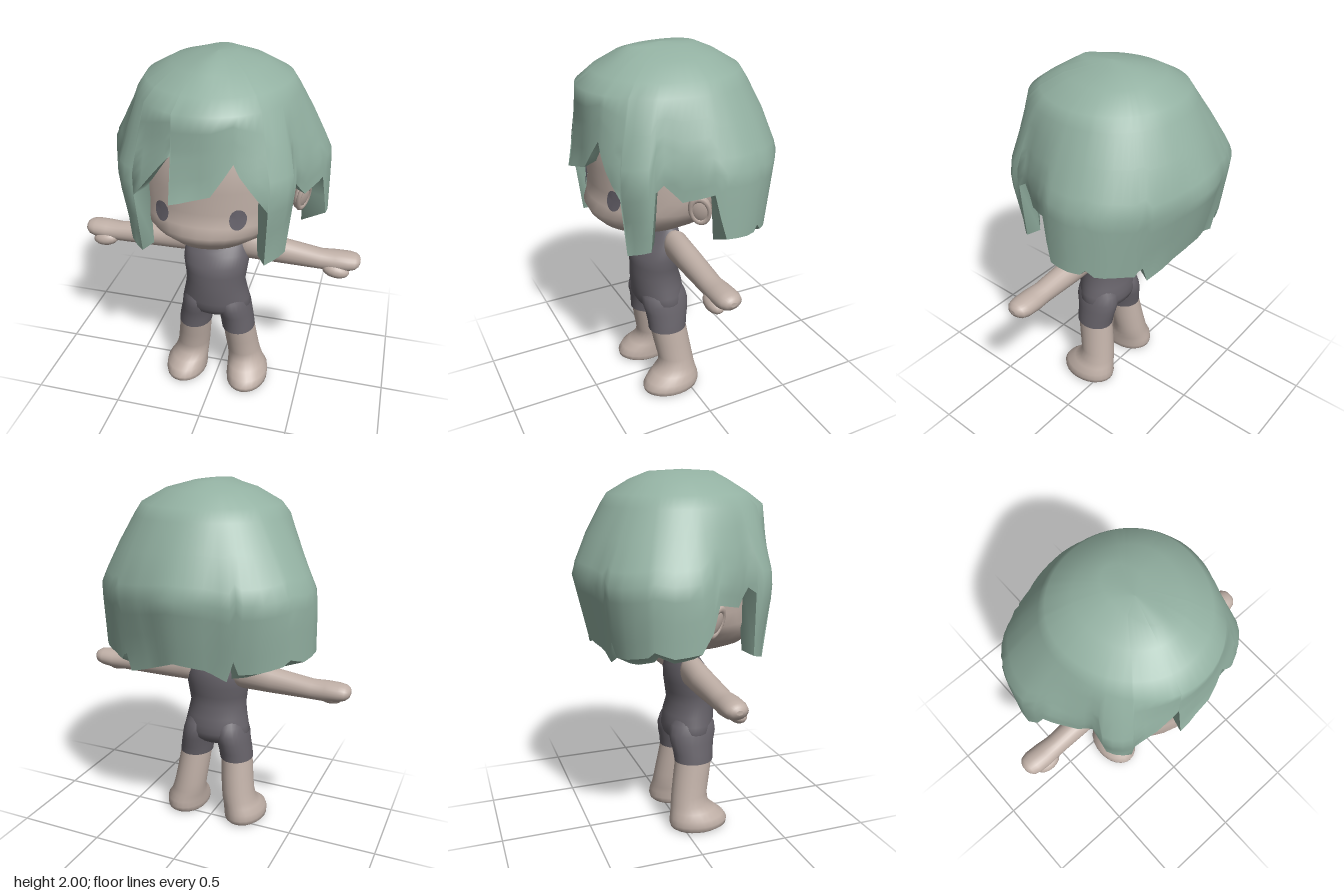
import * as THREE from 'three';

const mat = (name, color, side = THREE.FrontSide) => {
  const m = new THREE.MeshStandardMaterial({ color, side });
  m.name = name;
  return m;
};

// Linear lookup in rows of [key, ...values]
function sample(table, k) {
  if (k <= table[0][0]) return table[0].slice(1);
  for (let i = 1; i < table.length; i++) {
    if (k <= table[i][0]) {
      const a = table[i - 1], b = table[i], t = (k - a[0]) / (b[0] - a[0]);
      return a.slice(1).map((v, j) => v + (b[j + 1] - v) * t);
    }
  }
  return table[table.length - 1].slice(1);
}

// Skin over closed rings of points, listed bottom to top
function skin(rings, capBottom = true, capTop = true) {
  const n = rings[0].length, pos = rings.flat(2), idx = [];
  for (let j = 0; j < rings.length - 1; j++) {
    for (let i = 0; i < n; i++) {
      const a = j * n + i, b = j * n + (i + 1) % n;
      idx.push(a, b, b + n, a, b + n, a + n);
    }
  }
  const cap = (ring, up) => {
    const start = pos.length / 3;
    const c = [0, 1, 2].map(k => ring.reduce((s, p) => s + p[k], 0) / n);
    pos.push(...ring.flat(), ...c);
    for (let i = 0; i < n; i++) {
      const a = start + i, b = start + (i + 1) % n;
      if (up) idx.push(a, b, start + n); else idx.push(b, a, start + n);
    }
  };
  if (capBottom) cap(rings[0], false);
  if (capTop) cap(rings[rings.length - 1], true);
  const g = new THREE.BufferGeometry();
  g.setAttribute('position', new THREE.Float32BufferAttribute(pos, 3));
  g.setIndex(idx);
  g.computeVertexNormals();
  return g;
}

// Oval ring: height, centre x, half width, front z, back z
function oval([y, cx, rx, zf, zb], n = 24) {
  return Array.from({ length: n }, (_, i) => {
    const a = i / n * Math.PI * 2;
    return [cx + rx * Math.sin(a), y, (zf + zb) / 2 + (zf - zb) / 2 * Math.cos(a)];
  });
}

// y, half width, front z, back z
const HEAD = [
  [1.03, 0.08, 0.2, 0], [1.045, 0.16, 0.33, -0.06], [1.08, 0.25, 0.41, -0.14],
  [1.13, 0.33, 0.46, -0.22], [1.18, 0.375, 0.485, -0.27], [1.23, 0.41, 0.462, -0.3],
  [1.3, 0.425, 0.452, -0.34], [1.42, 0.435, 0.46, -0.37], [1.58, 0.42, 0.455, -0.37],
  [1.75, 0.32, 0.4, -0.3], [1.86, 0.16, 0.25, -0.16],
];
const TORSO = [
  [0.475, 0.05, 0.13, 0.04], [0.49, 0.12, 0.175, -0.005], [0.52, 0.185, 0.212, -0.038],
  [0.56, 0.2, 0.235, -0.05], [0.65, 0.18, 0.243, -0.04], [0.72, 0.168, 0.245, -0.02],
  [0.84, 0.185, 0.24, -0.035], [0.9, 0.183, 0.205, -0.037], [1, 0.155, 0.135, -0.012],
  [1.03, 0.13, 0.12, 0],
];

function headZ(x, y) {
  const [rx, zf, zb] = sample(HEAD, y);
  return (zf + zb) / 2 + (zf - zb) / 2 * Math.sqrt(Math.max(0, 1 - (x / rx) ** 2));
}

// Hair hem: degrees from the front towards the left, height
const HEM = [
  [-12.5, 1.38], [9, 1.44], [21, 1.6], [24, 1.54], [38, 1.35], [39, 1.03], [53, 1.07], [56, 1.4],
  [60, 1.43], [70, 1.34], [79, 1.36], [86, 1.38], [89, 1.25], [92, 1.14], [109, 1.13], [112, 1.16],
  [116, 1.12], [130, 1.1], [137, 1.08], [139, 1.11], [142, 1.12], [145, 1.03], [156, 1.06],
  [170, 1.1], [180, 1.13], [200, 1.11], [213, 1.06], [216, 1.17], [219, 1.1], [228, 1.11], [240, 1.14],
  [243, 1.17], [252, 1.14], [264, 1.16], [270, 1.25], [274, 1.38], [282, 1.36], [291, 1.34],
  [300, 1.43], [304, 1.4], [307, 1.06], [322, 1.02], [323, 1.36], [340, 1.55], [347, 1.62], [347.5, 1.38],
];
// Hair outline at its fullest: degrees, radius
const OUTLINE = [
  [-13, 0.525], [0, 0.505], [22, 0.53], [45, 0.575], [52, 0.575], [61, 0.51], [76, 0.52],
  [90, 0.56], [102, 0.585], [121, 0.585], [149, 0.545], [165, 0.535], [180, 0.55], [205, 0.545], [230, 0.615],
  [244, 0.635], [263, 0.62], [285, 0.53], [299, 0.5], [308, 0.57], [315, 0.575], [330, 0.53], [348, 0.525],
];
// Hair fullness by height: front, side, back, front corner
const FULLNESS = [
  [1.1, 1.07, 1.02, 0.84, -0.13], [1.36, 1.07, 1.01, 0.95, -0.05], [1.48, 1, 1, 1, 0],
  [1.65, 0.93, 0.88, 0.86, 0], [1.82, 0.89, 0.73, 0.68, 0], [1.88, 0.74, 0.66, 0.61, 0],
  [1.95, 0.54, 0.43, 0.4, 0], [1.99, 0.42, 0.16, 0.23, 0],
];

function hairPoint(deg, y, shrink = 1, lift = 0) {
  const a = deg * Math.PI / 180, c = Math.cos(a), s = Math.sin(a);
  const [f, w, b, k] = sample(FULLNESS, y);
  const round = 1 / Math.hypot(c / (c > 0 ? f : b), s / w);
  const corner = c > 0 ? k * Math.sin(2 * a) ** 2 : 0;
  // The outline evens out towards the crown
  const even = THREE.MathUtils.clamp((y - 1.45) / 0.37, 0, 1);
  const base = THREE.MathUtils.lerp(sample(OUTLINE, deg)[0], 0.56, even);
  const r = base * (round + corner) * shrink;
  return [r * s, y + lift, r * c];
}

function buildHair(material) {
  const cols = [];
  HEM.forEach(([d, y], i) => {
    const [d2, y2] = HEM[i + 1] || [HEM[0][0] + 360, HEM[0][1]];
    const n = Math.max(1, Math.ceil((d2 - d) / 6));
    for (let k = 0; k < n; k++) cols.push([d + (d2 - d) * k / n, y + (y2 - y) * k / n]);
  });
  const outer = [0, 0.12, 0.25, 0.4, 0.5, 0.6, 0.8].map(t =>
    cols.map(([d, y]) => hairPoint(d, y + (1.82 - y) * t)));
  for (const y of [1.82, 1.88, 1.95, 1.99]) outer.push(cols.map(([d]) => hairPoint(d, y)));
  outer.push(cols.map(() => [0, 2, 0.06]));
  // Turned-in underside; behind the ears it slopes down towards the neck
  const behindEar = d => (d > 89 && d < 143) || (d > 217 && d < 269);
  const inner = [
    cols.map(([d, y]) => hairPoint(d, Math.min(1.7, y + 0.3), behindEar(d) ? 0.76 : 0.82)),
    cols.map(([d, y]) => behindEar(d) ? hairPoint(d, y, 0.78, -0.06) : hairPoint(d, y, 0.86, 0.02)),
    cols.map(([d, y]) => hairPoint(d, y)),
  ];
  const g = new THREE.Group();
  g.name = 'hair';
  [['hairShell', outer], ['hairUnderside', inner]].forEach(([name, rings]) => {
    const m = new THREE.Mesh(skin(rings, false, false), material);
    m.name = name;
    g.add(m);
  });
  return g;
}

export function createModel() {
  const model = new THREE.Group();
  model.name = 'figure';
  const skinTone = mat('skin', 0xbfafa6);
  const cloth = mat('suitCloth', 0x67636a, THREE.DoubleSide);
  const eyeMat = mat('eyes', 0x67636c, THREE.DoubleSide);
  const hairMat = mat('hair', 0x93b1a2, THREE.DoubleSide);
  const add = (name, geometry, material) => {
    const m = new THREE.Mesh(geometry, material);
    m.name = name;
    model.add(m);
    return m;
  };

  add('head', skin(HEAD.map(([y, ...r]) => oval([y, 0, ...r], 32))), skinTone);
  model.add(buildHair(hairMat));
  add('neck', new THREE.CylinderGeometry(0.07, 0.078, 0.14, 20), skinTone).position.set(0, 1.02, 0.065);

  // Upper chest under the suit
  add('chest', skin([0.86, 0.9, 0.95, 1].map(y => {
    const [rx, zf, zb] = sample(TORSO, y);
    return oval([y, 0, rx - 0.006, zf - 0.006, zb + 0.006], 32);
  })), skinTone);

  // Suit with a scooped neckline; the last ring folds the straps over the shoulders
  const levels = [0.475, 0.49, 0.52, 0.56, 0.6, 0.65, 0.72, 0.78, 0.84, 0.9, 0.95, 1.01, 1.02];
  add('suitBody', skin(levels.map(level => Array.from({ length: 48 }, (_, i) => {
    const a = i / 48 * Math.PI * 2, c = Math.cos(a), s = Math.sin(a);
    const strap = Math.min(1, (s / 0.54) ** 2);
    const top = c > 0 ? 0.935 + 0.075 * strap : 0.975 + 0.035 * strap;
    const y = level > 0.9 ? 0.9 + (top - 0.9) * Math.min(1, (level - 0.9) / 0.11) : level;
    const fold = level > 1.01 ? strap : 0;
    const [rx, zf, zb] = sample(TORSO, y);
    return [rx * s * (1 - 0.4 * fold * s * s), y + 0.004 * fold, (zf + zb) / 2 + (zf - zb) / 2 * c * (1 - 0.1 * fold)];
  })), true, false), cloth);

  for (const s of [1, -1]) {
    const side = s > 0 ? 'left' : 'right';

    add(side + 'SuitLeg', skin([
      [0.39, 0.13, 0.096, 0.2, -0.022], [0.44, 0.123, 0.096, 0.203, -0.028],
      [0.5, 0.112, 0.095, 0.212, -0.042], [0.55, 0.1, 0.099, 0.226, -0.046], [0.6, 0.09, 0.094, 0.223, -0.035],
      [0.68, 0.08, 0.07, 0.18, 0.01],
    ].map(([y, cx, ...r]) => oval([y, s * cx, ...r]))), cloth);

    add(side + 'Leg', skin([
      [0, 0.187, 0.105, 0.245, -0.05], [0.015, 0.19, 0.12, 0.265, -0.068], [0.04, 0.19, 0.122, 0.268, -0.075],
      [0.075, 0.188, 0.12, 0.245, -0.07], [0.11, 0.175, 0.108, 0.2, -0.062], [0.145, 0.165, 0.1, 0.16, -0.057],
      [0.2, 0.155, 0.096, 0.155, -0.05], [0.3, 0.142, 0.094, 0.175, -0.035], [0.41, 0.13, 0.091, 0.195, -0.018],
    ].map(([y, cx, ...r]) => oval([y, s * cx, ...r]))), skinTone);

    // Arm lofted upright, then laid out sideways: reach, centre y, half height, front z, back z
    add(side + 'Arm', skin([
      [0.13, 0.93, 0.075, 0.11, 0.005], [0.18, 0.932, 0.087, 0.125, -0.01], [0.35, 0.917, 0.073, 0.125, -0.01],
      [0.58, 0.9, 0.056, 0.122, 0], [0.66, 0.902, 0.057, 0.128, -0.008], [0.73, 0.906, 0.051, 0.125, -0.01],
      [0.765, 0.908, 0.042, 0.115, 0], [0.783, 0.91, 0.028, 0.095, 0.02], [0.79, 0.91, 0.012, 0.075, 0.04],
    ].map(([t, y, ...r]) => oval([t, -s * y, ...r]))).rotateZ(-s * Math.PI / 2), skinTone);

    const thumb = add(side + 'Thumb', new THREE.SphereGeometry(1, 16, 12), skinTone);
    thumb.scale.set(0.075, 0.042, 0.047);
    thumb.position.set(s * 0.665, 0.862, 0.098);
    thumb.rotation.z = -s * 0.15;

    // Ear: shallow bowl and raised rim, turned towards the front
    const ear = new THREE.Group();
    ear.name = side + 'Ear';
    const bowl = new THREE.Mesh(new THREE.SphereGeometry(1, 16, 12), skinTone);
    bowl.name = 'earBowl';
    bowl.scale.set(0.03, 0.085, 0.058);
    const rim = new THREE.Mesh(new THREE.TorusGeometry(0.05, 0.014, 8, 20), skinTone);
    rim.name = 'earRim';
    rim.rotation.y = Math.PI / 2;
    rim.scale.set(0.9, 1.45, 1);
    rim.position.x = s * 0.014;
    ear.add(bowl, rim);
    ear.position.set(s * 0.45, 1.272, 0.065);
    ear.rotation.set(0.2, -s * 0.5, -s * 0.15);
    model.add(ear);

    // Eye: thin oval following the face
    const eye = new THREE.CircleGeometry(1, 24), p = eye.attributes.position;
    for (let i = 0; i < p.count; i++) {
      const x = s * 0.195 + p.getX(i) * 0.04, y = 1.28 + p.getY(i) * 0.055;
      p.setXYZ(i, x, y, headZ(x, y) + 0.008);
    }
    eye.computeVertexNormals();
    add(side + 'Eye', eye, eyeMat);
  }
  return model;
}
